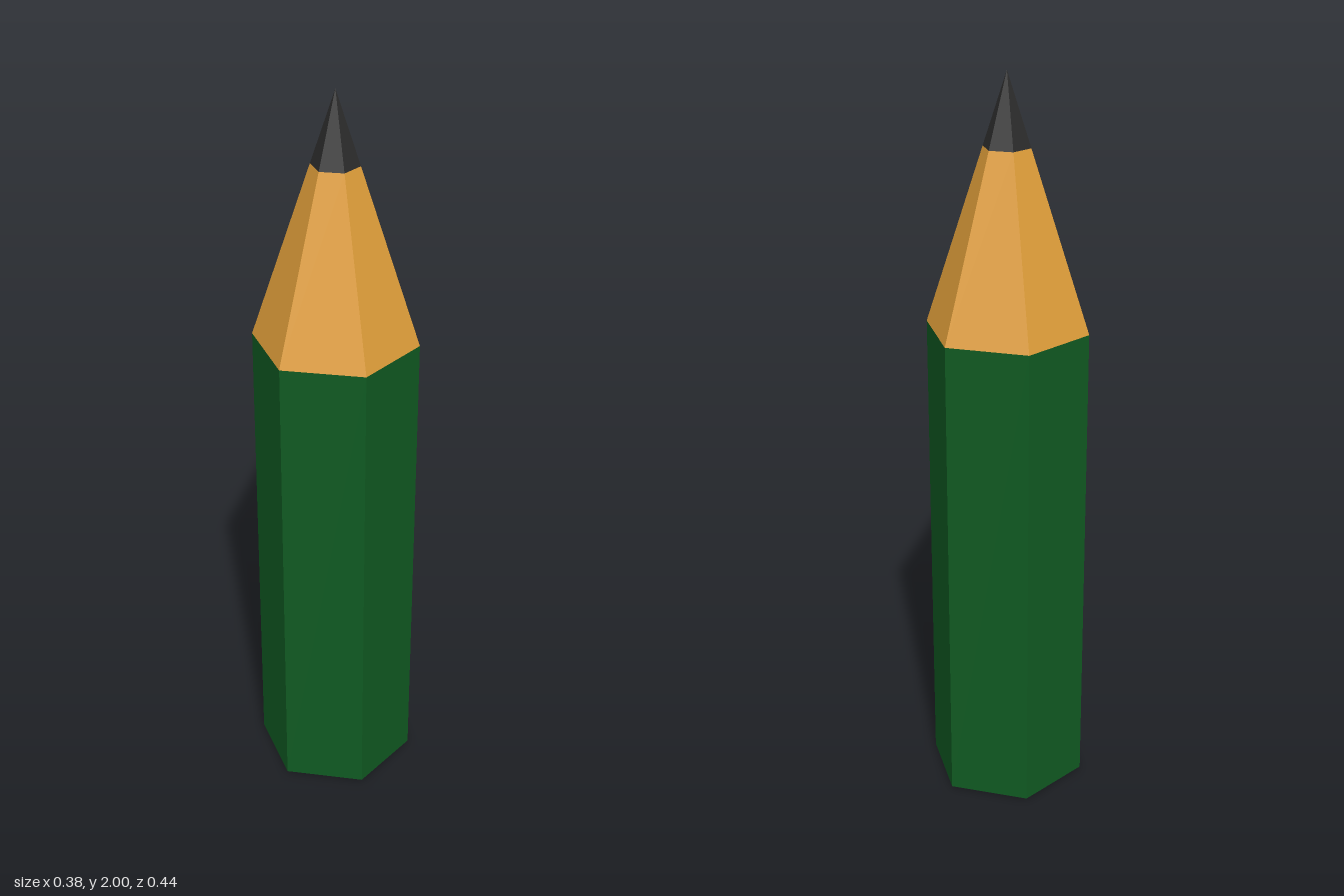
import * as THREE from 'three';

export function createModel() {
  const model = new THREE.Group();
  const paint = new THREE.MeshStandardMaterial({ color: 0x105a22, flatShading: true });
  const wood = new THREE.MeshStandardMaterial({ color: 0xe09e3a, flatShading: true });
  const lead = new THREE.MeshStandardMaterial({ color: 0x2b2b2b, flatShading: true });

  const SIDES = 6, RADIUS = 0.22, LEAD_RADIUS = 0.063;
  const BASE = 0.005, SHOULDER = 1.335, LEAD_START = 1.81, TIP = 2;

  const add = (name, geometry, material, y) => {
    const mesh = new THREE.Mesh(geometry, material);
    mesh.name = name;
    mesh.position.y = y;
    model.add(mesh);
    return mesh;
  };

  // Open six-sided section between two heights
  const section = (name, material, y0, y1, r0, r1) =>
    add(name, new THREE.CylinderGeometry(r1, r0, y1 - y0, SIDES, 1, true), material, (y0 + y1) / 2);

  // Painted barrel, sharpened wood and lead point
  section('paintedBarrel', paint, BASE, SHOULDER, RADIUS, RADIUS);
  section('sharpenedWood', wood, SHOULDER, LEAD_START, RADIUS, LEAD_RADIUS);
  add('leadPoint', new THREE.ConeGeometry(LEAD_RADIUS, TIP - LEAD_START, SIDES, 1, true),
    lead, (LEAD_START + TIP) / 2);

  // Bare wood end facing down, with its corners on the z axis
  const end = new THREE.CircleGeometry(RADIUS, SIDES, Math.PI / 2).rotateX(Math.PI / 2);
  add('woodEnd', end, wood, BASE);

  // Round lead core showing at the end
  add('leadCore', new THREE.CylinderGeometry(0.053, 0.053, BASE, 24), lead, BASE / 2);

  return model;
}
